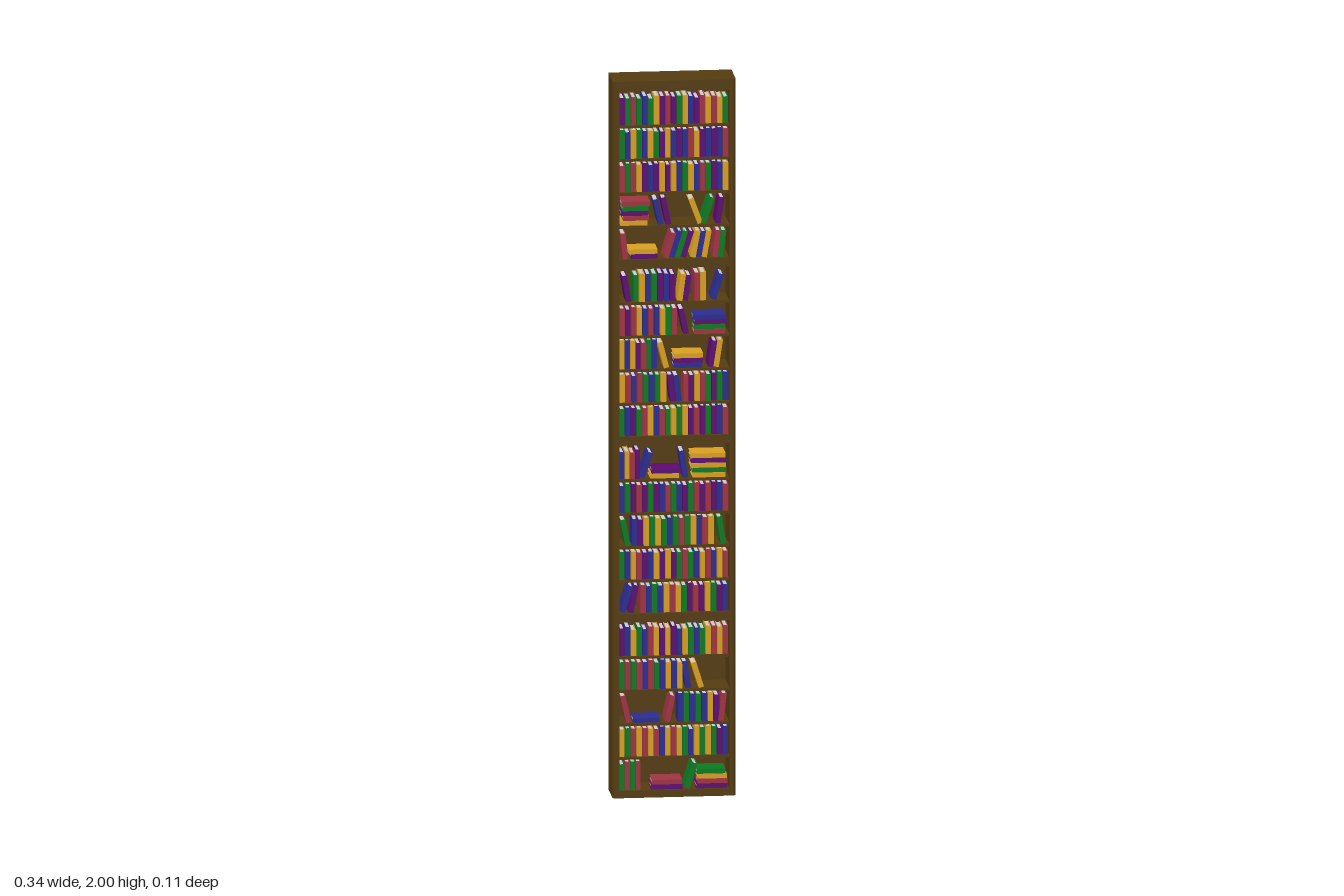
import * as THREE from 'three';

const WOOD = new THREE.MeshStandardMaterial({ color: 0x553c10 });
const PAGES = new THREE.MeshStandardMaterial({ color: 0xcccccc });
const COVERS = [0x5c0a70, 0xd9a021, 0x0a7a22, 0x2c2c90, 0xa03442]
  .map((color) => new THREE.MeshStandardMaterial({ color }));

const HALF_W = 0.168, INNER = 0.15, BACK = -0.057, FRONT = 0.055;
const UNIT = 0.494, ROW = 0.0935, BASE = 0.02, SHELF = 0.007;
const BOOK_FRONT = 0.046, BOOK_DEPTH = 0.068;

// Small seeded generator for book sizes and colours
let seed = 7;
const rand = () => (seed = (seed * 16807) % 2147483647) / 2147483647;
const between = (a, b) => a + (b - a) * rand();

function box(name, x0, x1, y0, y1, z0, z1) {
  const mesh = new THREE.Mesh(new THREE.BoxGeometry(x1 - x0, y1 - y0, z1 - z0), WOOD);
  mesh.position.set((x0 + x1) / 2, (y0 + y1) / 2, (z0 + z1) / 2);
  mesh.name = name;
  return mesh;
}

// Vertical slab cut from a plan outline given as [x, z] points
function slab(name, plan, y0, y1) {
  const shape = new THREE.Shape(plan.map(([x, z]) => new THREE.Vector2(x, -z)));
  const geo = new THREE.ExtrudeGeometry(shape, { depth: y1 - y0, bevelEnabled: false });
  geo.rotateX(-Math.PI / 2).translate(0, y0, 0);
  const mesh = new THREE.Mesh(geo, WOOD);
  mesh.name = name;
  return mesh;
}

// Unit book: a cover folded round the spine (+z) and a page block
const coverGeo = new THREE.ExtrudeGeometry(new THREE.Shape(
  [[-0.5, -0.5], [0.5, -0.5], [0.5, 0.5], [0.36, 0.5], [0.36, -0.44], [-0.36, -0.44], [-0.36, 0.5], [-0.5, 0.5]]
    .map(([x, y]) => new THREE.Vector2(x, y))), { depth: 1, bevelEnabled: false });
coverGeo.translate(0, 0, -0.5).rotateX(-Math.PI / 2);
const pageGeo = new THREE.BoxGeometry(0.72, 0.95, 0.92);

let lastColor = 0;
function makeBook(w, h, d) {
  lastColor = (lastColor + 1 + Math.floor(rand() * 4)) % 5;
  const book = new THREE.Group();
  book.name = 'book';
  const cover = new THREE.Mesh(coverGeo, COVERS[lastColor]);
  const pages = new THREE.Mesh(pageGeo, PAGES);
  cover.name = 'cover';
  pages.name = 'pages';
  book.add(cover, pages);
  book.scale.set(w, h, d);
  return book;
}

// Arrangements of books; each returns a function filling a row
const stand = (a, b) => (row) => {
  const n = Math.round((b - a) / 0.0158), pitch = (b - a) / n;
  for (let i = 0; i < n; i++) {
    const h = between(0.072, 0.081);
    const book = makeBook(pitch * between(0.82, 0.94), h, BOOK_DEPTH);
    book.position.set(a + (i + 0.5) * pitch, h / 2, BOOK_FRONT - BOOK_DEPTH / 2 - between(0, 0.003));
    row.add(book);
  }
};
// Positive angle tips the tops towards +x
const lean = (x, angle, n = 1) => (row) => {
  const w = 0.0145, c = Math.cos(angle), s = Math.sin(angle);
  for (let i = 0; i < n; i++) {
    const h = between(0.071, 0.077);
    const book = makeBook(w, h, BOOK_DEPTH);
    book.rotation.z = -angle;
    book.position.set(x + i * (w / c + 0.0005) + s * h / 2, (h * c + w * Math.abs(s)) / 2, BOOK_FRONT - BOOK_DEPTH / 2);
    row.add(book);
  }
};
const stack = (a, b, n) => (row) => {
  const t = 0.0135;
  for (let i = 0; i < n; i++) {
    const h = (b - a) * between(0.86, 1);
    const book = makeBook(t * 0.94, h, BOOK_DEPTH);
    book.rotation.z = Math.PI / 2;
    book.position.set((a + b) / 2 + between(-0.003, 0.003), (i + 0.5) * t, BOOK_FRONT - BOOK_DEPTH / 2);
    row.add(book);
  }
};

const full = [stand(-0.149, 0.149)];
// Rows from the floor upwards
const ROWS = [
  [stand(-0.149, -0.09), stack(-0.065, 0.024, 2), lean(0.036, 0.3), stack(0.06, 0.146, 4)],
  full,
  [lean(-0.123, -0.22), stack(-0.112, -0.032, 1), lean(-0.018, 0.2), stand(0.01, 0.125), lean(0.128, 0.12)],
  [stand(-0.149, 0.025), lean(0.04, -0.15), lean(0.075, -0.3)],
  full,
  [lean(-0.14, 0.3), lean(-0.118, 0.2), stand(-0.092, 0.149)],
  full,
  [lean(-0.125, -0.2), stand(-0.115, 0.11), lean(0.135, -0.15)],
  full,
  [stand(-0.149, -0.092), lean(-0.088, 0.33), stack(-0.064, 0.018, 2), lean(0.032, -0.15), stack(0.045, 0.145, 5)],
  full,
  [stand(-0.149, -0.02), lean(-0.002, -0.12), lean(0.014, -0.12), stand(0.025, 0.149)],
  [stand(-0.149, -0.045), lean(-0.02, -0.25), stack(-0.004, 0.084, 3), lean(0.1, 0.15, 2)],
  [stand(-0.149, 0.01), lean(0.034, -0.2), stack(0.054, 0.144, 4)],
  [lean(-0.123, -0.17), stand(-0.112, 0.005), lean(0.016, 0.13, 2), stand(0.055, 0.088), lean(0.108, 0.3)],
  [lean(-0.132, -0.1), stack(-0.122, -0.04, 2), lean(-0.022, 0.3, 4), lean(0.052, 0.18, 3), lean(0.112, 0.12, 2)],
  [stack(-0.147, -0.065, 5), lean(-0.035, -0.22), lean(-0.014, -0.2), lean(0.072, -0.35), lean(0.08, 0.33), lean(0.12, 0.15)],
  full, full, full,
];

export function createModel() {
  const model = new THREE.Group();
  model.name = 'bookcase';

  // Carcass: back, chamfered sides, floor and top
  model.add(box('backPanel', -HALF_W + 0.001, HALF_W - 0.001, 0.001, 1.999, BACK, BACK + 0.012));
  for (const s of [1, -1]) {
    const plan = [[INNER, BACK], [INNER, FRONT], [0.162, FRONT], [HALF_W, 0.048], [HALF_W, BACK]];
    model.add(slab(s > 0 ? 'leftSide' : 'rightSide', plan.map(([x, z]) => [x * s, z]), 0, 2));
  }

  // Thick rails between the stacked sections, with floor and top
  for (let k = 0; k <= 4; k++) {
    const top = k === 4 ? 2 : BASE + k * UNIT;
    const bottom = k === 0 ? 0 : BASE + k * UNIT - 0.024;
    model.add(box('rail', -INNER, INNER, bottom, top, BACK, FRONT - 0.001));
  }

  // Thin shelves and their books
  ROWS.forEach((items, i) => {
    const y = BASE + Math.floor(i / 5) * UNIT + (i % 5) * ROW;
    if (i % 5) model.add(box('shelf', -INNER, INNER, y - SHELF, y, BACK + 0.01, FRONT - 0.004));
    const row = new THREE.Group();
    row.name = 'bookRow';
    row.position.y = y;
    items.forEach((fill) => fill(row));
    model.add(row);
  });
  return model;
}
